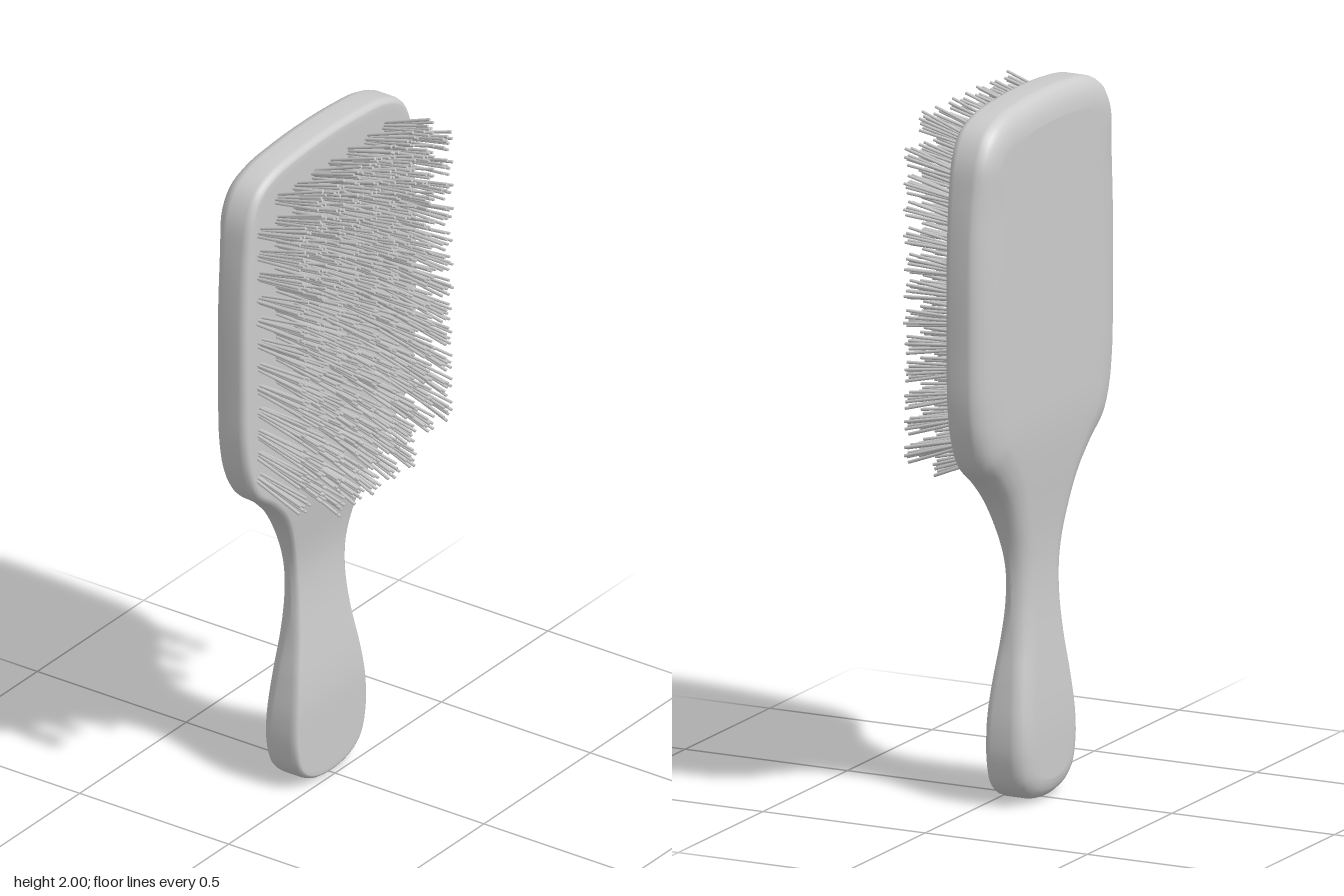
import * as THREE from 'three';
import { mergeGeometries, mergeVertices } from 'three/addons/utils/BufferGeometryUtils.js';

const { lerp, smoothstep } = THREE.MathUtils;

// Right half of the outline, top centre to bottom centre
const OUTLINE = [
  [0, 2], [0.14, 1.995], [0.26, 1.98], [0.335, 1.945], [0.378, 1.88], [0.398, 1.77], [0.41, 1.58],
  [0.41, 1.35], [0.405, 1.18], [0.385, 1.08], [0.345, 1.0], [0.265, 0.935], [0.2, 0.865],
  [0.155, 0.78], [0.125, 0.68], [0.117, 0.58], [0.127, 0.46], [0.15, 0.34], [0.168, 0.22],
  [0.167, 0.13], [0.145, 0.06], [0.095, 0.02], [0, 0.003],
];

// Front and back faces: thin at the neck, thick at head and grip
const frontZ = (y) => y < 0.65
  ? lerp(-0.01, -0.045, smoothstep(y, 0.22, 0.65))
  : lerp(-0.045, -0.011, smoothstep(y, 0.65, 0.97));
const backZ = (y) => y < 0.65
  ? lerp(-0.136, -0.11, smoothstep(y, 0.15, 0.65))
  : lerp(-0.11, -0.14, smoothstep(y, 0.65, 1.12));

// Edge section: [inset, distance from front face] then [inset, distance from back face]
const FRONT_EDGE = [[0.04, 0], [0.02, 0], [0.012, 0.002], [0.004, 0.009], [0, 0.022]];
const BACK_EDGE = [[0, 0.058], [0.004, 0.045], [0.016, 0.029], [0.036, 0.017], [0.065, 0.007], [0.1, 0.002], [0.125, 0]];

function bodyGeometry(rows = 150, capCols = 8) {
  const mirrored = OUTLINE.slice(1, -1).reverse().map(([x, y]) => [-x, y]);
  const curve = new THREE.CatmullRomCurve3(
    [...OUTLINE, ...mirrored].map(([x, y]) => new THREE.Vector3(x, y, 0)), true);
  curve.arcLengthDivisions = 1000;
  const positions = [], index = [];
  let cols = 0;

  for (let i = 0; i <= rows; i++) {
    const u = (i / rows) * 0.5;
    const p = curve.getPointAt(u), t = curve.getTangentAt(u);
    const end = i === 0 || i === rows;
    const size = lerp(0.45, 1, smoothstep(p.y, 0.75, 1.15)) * lerp(1, 0.65, smoothstep(p.y, 1.7, 1.9));
    const edgePoint = (inset, z) => {
      const x = end ? 0 : Math.max(0, p.x + t.y * inset);
      const y = p.y - t.x * inset;
      return [x, y, z(y)];
    };
    const side = [
      ...FRONT_EDGE.map(([d, h]) => edgePoint(d * Math.min(1, size * 1.4), (y) => frontZ(y) - h)),
      ...BACK_EDGE.map(([d, h]) => edgePoint(d * size, (y) => backZ(y) + h * lerp(0.65, 1, size))),
    ];
    const cap = ([x, y, z], from) => Array.from({ length: capCols - 1 },
      (_, k) => [from * x * (1 - 2 * (k + 1) / capCols), y, z]);
    const ring = [
      ...side,
      ...cap(side[side.length - 1], 1),
      ...side.slice().reverse().map(([x, y, z]) => [-x, y, z]),
      ...cap(side[0], -1),
    ];
    cols = ring.length;
    positions.push(...ring.flat());
  }
  for (let i = 0; i < rows; i++) {
    for (let j = 0; j < cols; j++) {
      const k = (j + 1) % cols;
      const a = i * cols + j, b = i * cols + k, d = a + cols, c = b + cols;
      index.push(a, d, b, b, d, c);
    }
  }
  const geometry = new THREE.BufferGeometry();
  geometry.setAttribute('position', new THREE.Float32BufferAttribute(positions, 3));
  geometry.setIndex(index);
  const welded = mergeVertices(geometry, 1e-5);
  welded.computeVertexNormals();
  return welded;
}

// One thin bristle between two points
function bristle(from, to) {
  const dir = to.clone().sub(from);
  const g = new THREE.CylinderGeometry(0.0045, 0.0045, dir.length(), 6);
  g.applyQuaternion(new THREE.Quaternion().setFromUnitVectors(
    new THREE.Vector3(0, 1, 0), dir.clone().normalize()));
  const mid = from.clone().add(to).multiplyScalar(0.5);
  return g.translate(mid.x, mid.y, mid.z);
}

// A tuft that flares from its root and leans away from the pad's middle
function tuft(x, y, tipY, turn) {
  const strands = [];
  for (let k = 0; k < 8; k++) {
    const a = turn + k * 2.4;
    const r = Math.sqrt(k / 7);
    const cx = Math.cos(a) * r, cy = Math.sin(a) * r;
    strands.push(bristle(
      new THREE.Vector3(x + cx * 0.013, y + cy * 0.013, -0.025),
      new THREE.Vector3(x + cx * 0.029, tipY + cy * 0.029, 0.138)));
  }
  return mergeGeometries(strands);
}

export function createModel() {
  const group = new THREE.Group();
  const material = new THREE.MeshStandardMaterial({ color: 0xcccccc, roughness: 0.6 });

  // Paddle head and handle in one piece
  const body = new THREE.Mesh(bodyGeometry(), material);
  body.name = 'paddleBody';
  group.add(body);

  // Bristle field: nine columns, shortened at the sides
  const tufts = new THREE.Group();
  tufts.name = 'bristles';
  const rowCount = 14;
  for (let c = -4; c <= 4; c++) {
    const out = Math.abs(c);
    const first = out >= 3 ? 1 : 0;
    const last = out === 4 ? rowCount - 2 : rowCount - 1;
    const column = [];
    for (let r = first; r <= last; r++) {
      const f = r / (rowCount - 1);
      column.push(tuft(c * 0.0838, lerp(1.0, 1.893, f), lerp(0.945, 1.938, f), c * 1.7 + r * 2.3));
    }
    const mesh = new THREE.Mesh(mergeGeometries(column), material);
    mesh.name = `bristleColumn${c + 5}`;
    tufts.add(mesh);
  }
  group.add(tufts);
  return group;
}
